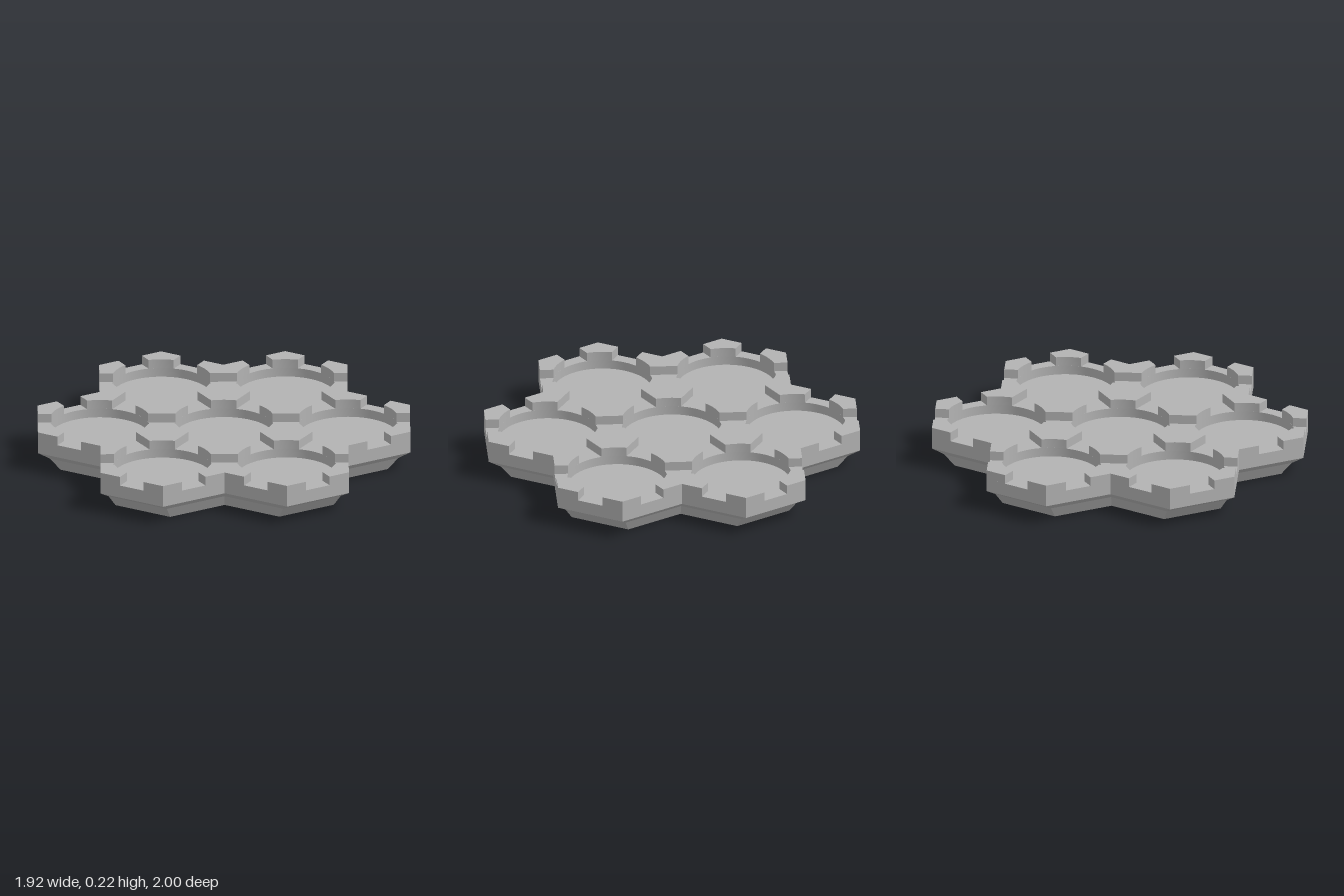
import * as THREE from 'three';
import { toCreasedNormals } from 'three/addons/utils/BufferGeometryUtils.js';

const D = Math.PI / 180;
const APOTHEM = 1 / 3, R = APOTHEM * 2 / Math.sqrt(3);
const CUP_R = 0.27, SLOT_HALF = 0.0725;
const FLOOR = 0.125, SLOT_Y = 0.175, TOP = 0.225, GROOVE = 0.085;

const polar = (r, deg, c = { x: 0, y: 0 }) =>
  new THREE.Vector2(c.x + r * Math.cos(deg * D), c.y + r * Math.sin(deg * D));

// One centre cell and six around it
const cells = [new THREE.Vector2(0, 0)];
for (let k = 0; k < 6; k++) cells.push(polar(2 * APOTHEM, 30 + 60 * k));

// Outer contour of the seven joined hexagons
function outline(s = 1) {
  const pts = [];
  for (let k = 0; k < 6; k++) {
    const a = 30 + 60 * k;
    const c = polar(2 * APOTHEM, a);
    pts.push(polar(R, a - 30, c), polar(R, a + 30, c), polar(2 * R, a + 30));
  }
  return pts.map((p) => p.multiplyScalar(s));
}
const hexagon = (r) => [0, 60, 120, 180, 240, 300].map((a) => polar(r, a));

// Upright solid between two heights, with optional holes
function slab(points, holes, y0, y1) {
  const shape = new THREE.Shape(points);
  shape.holes = holes.map((h) => new THREE.Path(h));
  const g = new THREE.ExtrudeGeometry(shape, { depth: y1 - y0, bevelEnabled: false });
  g.rotateX(-Math.PI / 2);
  g.translate(0, y0, 0);
  return toCreasedNormals(g, 0.3);
}

// Flat sheet facing up (dir 1) or down (dir -1)
function sheet(points, y, dir) {
  const g = new THREE.ShapeGeometry(new THREE.Shape(points));
  g.rotateX(-dir * Math.PI / 2);
  g.translate(0, y, 0);
  return g;
}

// Bevelled side wall lofted through scaled contours
function skirt(levels) {
  const pos = [];
  const rings = levels.map(([y, s]) => outline(s).map((p) => [p.x, y, -p.y]));
  for (let l = 0; l < rings.length - 1; l++) {
    const lo = rings[l], up = rings[l + 1], n = lo.length;
    for (let i = 0; i < n; i++) {
      const j = (i + 1) % n;
      pos.push(...lo[i], ...lo[j], ...up[j], ...lo[i], ...up[j], ...up[i]);
    }
  }
  const g = new THREE.BufferGeometry();
  g.setAttribute('position', new THREE.Float32BufferAttribute(pos, 3));
  g.computeVertexNormals();
  return g;
}

// Part of a post that lies in one cell: slot edge, cup arc, slot edge
function postSide(cell, deg) {
  const along = R / 2 - SLOT_HALF;
  const v = polar(R, deg, cell);
  const half = 30 - Math.asin(SLOT_HALF / CUP_R) / D;
  const pts = [polar(along, deg + 120, v)];
  for (let i = 0; i <= 8; i++) pts.push(polar(CUP_R, deg + half - (2 * half * i) / 8, cell));
  pts.push(polar(along, deg - 120, v));
  return pts;
}

// Posts at every hexagon corner, merged where cells share the corner
function postContours() {
  const corners = new Map();
  for (const cell of cells) {
    for (let k = 0; k < 6; k++) {
      const v = polar(R, 60 * k, cell);
      const key = `${Math.round(v.x * 100)},${Math.round(v.y * 100)}`;
      if (!corners.has(key)) corners.set(key, { v, sides: [] });
      corners.get(key).sides.push(postSide(cell, 60 * k));
    }
  }
  return [...corners.values()].map(({ v, sides }) => {
    // Chain the sides so that each begins where the last one ends
    const meets = (a, b) => a[a.length - 1].distanceTo(b[0]) < 0.01;
    const first = sides.find((s) => !sides.some((o) => o !== s && meets(o, s))) || sides[0];
    const chain = [first];
    while (chain.length < sides.length) {
      const last = chain[chain.length - 1];
      chain.push(sides.find((s) => !chain.includes(s) && meets(last, s)));
    }
    const pts = chain.flatMap((s, i) => {
      const closes = i < chain.length - 1 || sides.length === 3;
      return closes ? s.slice(0, -1) : s;
    });
    if (sides.length < 3) pts.push(v);
    return pts;
  });
}

export function createModel() {
  const group = new THREE.Group();
  group.name = 'hexTray';
  const grey = new THREE.MeshStandardMaterial({ color: 0xb2b2b2 });
  grey.name = 'grey';
  const add = (name, geometry) => {
    const m = new THREE.Mesh(geometry, grey);
    m.name = name;
    group.add(m);
  };

  // Bevelled body wall
  add('bodyWall', skirt([[0, 0.88], [0.068, 0.935], [0.105, 1], [FLOOR, 1]]));

  // Underside: raised lands separated by grooves
  add('groovePlate', sheet(outline(0.72), GROOVE, -1));
  add('outerLand', slab(outline(0.88), [outline(0.71)], 0, GROOVE));
  add('middleLand', slab(hexagon(0.545), [hexagon(0.44)], 0, GROOVE));
  add('innerLand', slab(hexagon(0.25), [hexagon(0.17)], 0, GROOVE));

  // Cup floors and the deck with seven round cups
  add('cupFloor', sheet(outline(), FLOOR, 1));
  const circle = (c) => Array.from({ length: 72 }, (_, i) => polar(CUP_R, i * 5, c));
  add('cupDeck', slab(outline(), cells.map(circle), FLOOR, SLOT_Y));

  // Posts left standing between the slots
  for (const contour of postContours()) add('post', slab(contour, [], SLOT_Y, TOP));

  return group;
}
